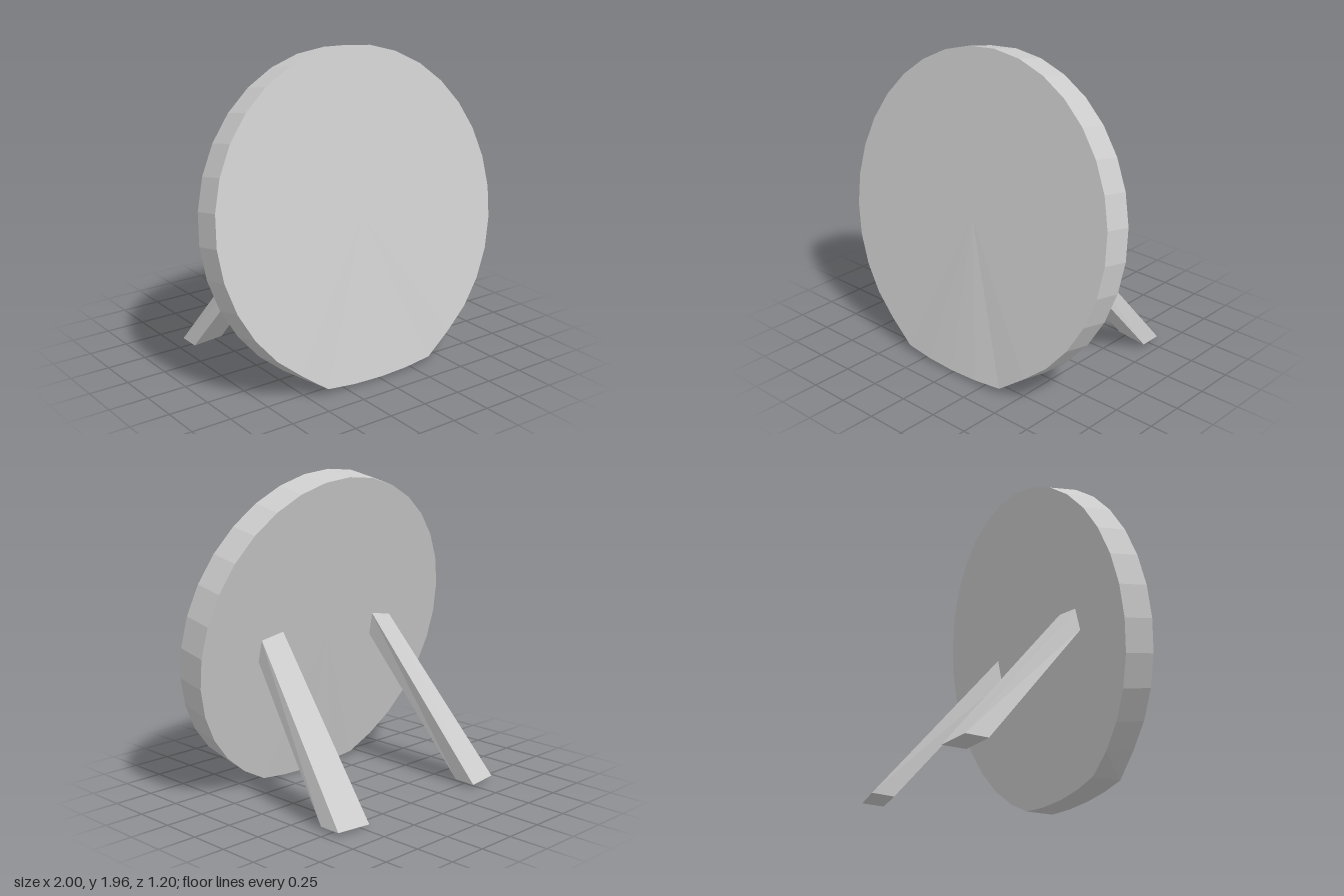
import * as THREE from 'three';

const material = new THREE.MeshStandardMaterial({ color: 0xcccccc, flatShading: true });

// Thick round disc leaning back, trimmed almost flat where it meets the ground
function makeDisc() {
  const tilt = Math.asin(0.2);
  const geo = new THREE.CylinderGeometry(1, 1, 0.19, 32).toNonIndexed();
  geo.rotateX(Math.PI / 2);
  const pos = geo.attributes.position;
  const isFront = Array.from({ length: pos.count }, (_, i) => pos.getZ(i) > 0);
  geo.rotateX(-tilt);
  geo.translate(0, 0.961, 0.307);
  for (let i = 0; i < pos.count; i++) {
    const x = pos.getX(i);
    if (pos.getY(i) > 0.1 || Math.abs(x) > 0.39) continue;
    pos.setY(i, isFront[i] ? 0.02 + 0.14 * x * x : 0.003 + 0.21 * x * x);
  }
  geo.computeVertexNormals();
  const mesh = new THREE.Mesh(geo, material);
  mesh.name = 'disc';
  return mesh;
}

// Four long edges of a leg, each from the foot up to the back of the disc
const legEdges = {
  innerUpper: [[0.465, 0.025, -0.60], [0.385, 1.01, 0.20]],
  outerUpper: [[0.683, 0.025, -0.57], [0.55, 0.98, 0.205]],
  innerLower: [[0.47, 0.025, -0.455], [0.39, 0.87, 0.23]],
  outerLower: [[0.683, 0.025, -0.43], [0.555, 0.85, 0.235]],
};

// Tapered prop with a level foot; its head is sunk a little into the disc
function makeLeg(side) {
  const geo = new THREE.BoxGeometry(2, 2, 2);
  const pos = geo.attributes.position;
  for (let i = 0; i < pos.count; i++) {
    const across = pos.getX(i) * side > 0 ? 'outer' : 'inner';
    const depth = pos.getZ(i) < 0 ? 'Upper' : 'Lower';
    const [foot, head] = legEdges[across + depth].map((p) => new THREE.Vector3(...p));
    const p = foot.lerp(head, pos.getY(i) > 0 ? 1.04 : 0);
    pos.setXYZ(i, p.x * side, p.y, p.z);
  }
  geo.computeVertexNormals();
  const mesh = new THREE.Mesh(geo, material);
  mesh.name = side > 0 ? 'leftLeg' : 'rightLeg';
  return mesh;
}

export function createModel() {
  const group = new THREE.Group();
  group.name = 'standingTarget';
  group.add(makeDisc(), makeLeg(1), makeLeg(-1));
  return group;
}
